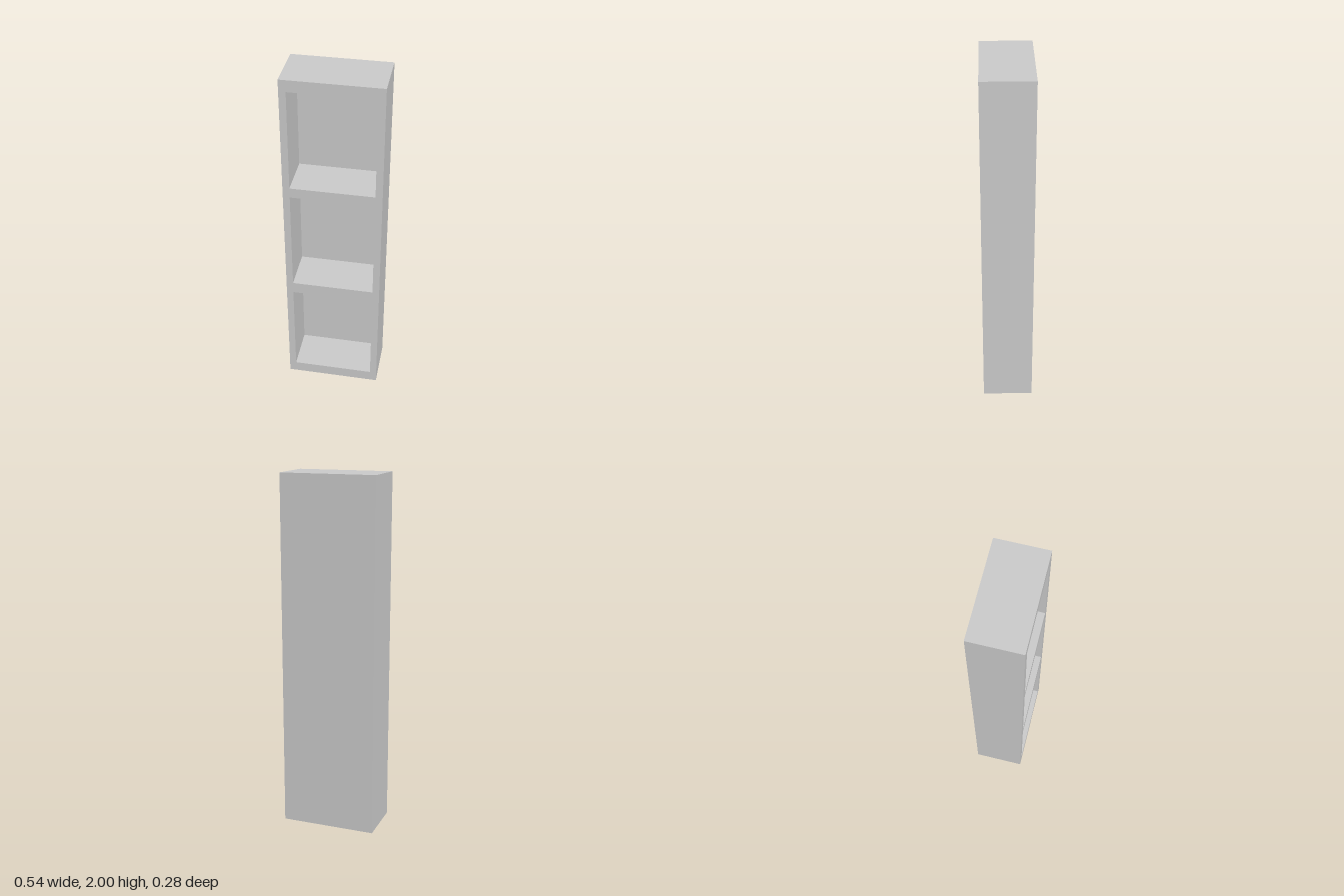
import * as THREE from 'three';

const W = 0.536, H = 2, D = 0.284, BACK = 0.038;
const OPENING_HALF = 0.23;
// bottom and top height of each compartment
const COMPARTMENTS = [[0.065, 0.638], [0.707, 1.305], [1.363, 1.935]];

function rect(target, x, y0, y1) {
  target.moveTo(-x, y0);
  target.lineTo(x, y0);
  target.lineTo(x, y1);
  target.lineTo(-x, y1);
  target.closePath();
  return target;
}

export function createModel() {
  const group = new THREE.Group();
  group.name = 'shelfUnit';
  const material = new THREE.MeshStandardMaterial({ color: 0xcccccc });

  // Side walls, top, bottom and shelves as one frame with three openings
  const shape = rect(new THREE.Shape(), W / 2, 0, H);
  for (const [y0, y1] of COMPARTMENTS) {
    shape.holes.push(rect(new THREE.Path(), OPENING_HALF, y0, y1));
  }
  const frame = new THREE.Mesh(
    new THREE.ExtrudeGeometry(shape, { depth: D - BACK, bevelEnabled: false }),
    material
  );
  frame.name = 'shelfFrame';
  frame.position.z = -D / 2 + BACK;
  group.add(frame);

  // Closed back
  const back = new THREE.Mesh(new THREE.BoxGeometry(W, H, BACK), material);
  back.name = 'backPanel';
  back.position.set(0, H / 2, -D / 2 + BACK / 2);
  group.add(back);

  return group;
}
